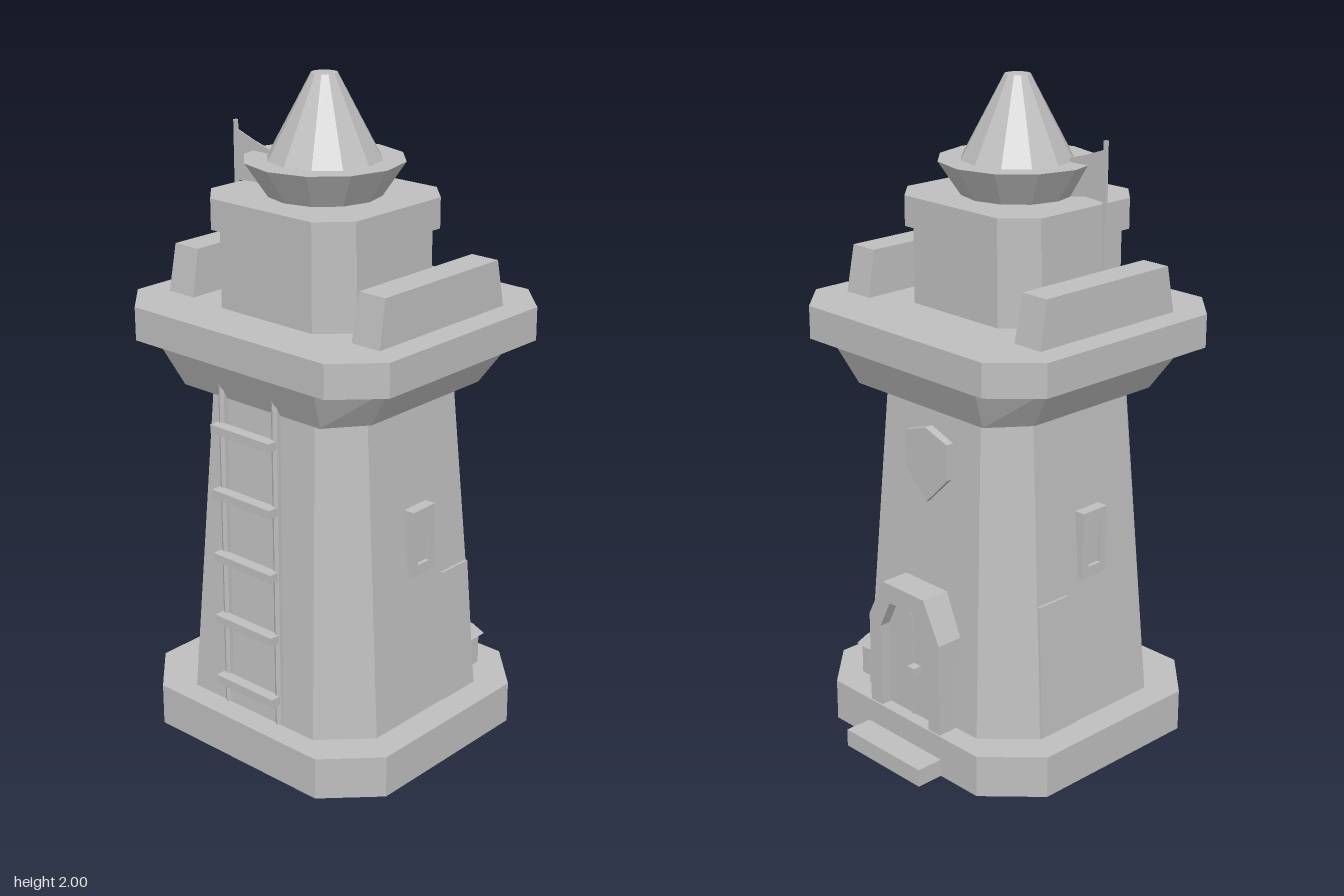
import * as THREE from 'three';

const stone = new THREE.MeshStandardMaterial({ color: 0xbebebe, flatShading: true, side: THREE.DoubleSide });
stone.name = 'grey stone';

// Ring of a rectangle with cut corners: half sizes hx, hz and corner starts cx, cz
function ring([y, hx, hz, cx, cz], z0) {
  return [[cx, hz], [hx, cz], [hx, -cz], [cx, -hz], [-cx, -hz], [-hx, -cz], [-hx, cz], [-cx, hz]]
    .map(([x, z]) => [x, y, z + z0]);
}

// Eight-sided block between two rings
function octBlock(low, high, z0, openBottom = false) {
  const a = ring(low, z0), b = ring(high, z0), pos = [];
  const tri = (...p) => p.forEach((v) => pos.push(...v));
  for (let i = 0; i < 8; i++) {
    const j = (i + 1) % 8;
    tri(a[i], a[j], b[j]);
    tri(a[i], b[j], b[i]);
    if (i > 0 && i < 7) {
      tri(b[0], b[i], b[i + 1]);
      if (!openBottom) tri(a[0], a[i + 1], a[i]);
    }
  }
  const geo = new THREE.BufferGeometry();
  geo.setAttribute('position', new THREE.Float32BufferAttribute(pos, 3));
  geo.computeVertexNormals();
  return geo;
}

// Flat outline pushed from z0 to z1, with an optional hole
function plate(points, z0, z1, hole) {
  const shape = new THREE.Shape(points.map((p) => new THREE.Vector2(...p)));
  if (hole) shape.holes.push(new THREE.Path(hole.map((p) => new THREE.Vector2(...p))));
  return new THREE.ExtrudeGeometry(shape, { depth: z1 - z0, bevelEnabled: false }).translate(0, 0, z0);
}

// Box given by its limits
function box(x0, x1, y0, y1, z0, z1) {
  return new THREE.BoxGeometry(x1 - x0, y1 - y0, z1 - z0)
    .translate((x0 + x1) / 2, (y0 + y1) / 2, (z0 + z1) / 2);
}

// Box whose upper corners are moved by a rule
function shapedBox(limits, rule) {
  const geo = box(...limits), p = geo.attributes.position, mid = (limits[2] + limits[3]) / 2;
  for (let i = 0; i < p.count; i++) {
    if (p.getY(i) > mid) {
      const [x, z] = rule(p.getX(i), p.getZ(i));
      p.setX(i, x);
      p.setZ(i, z);
    }
  }
  geo.computeVertexNormals();
  return geo;
}

export function createModel() {
  const model = new THREE.Group();
  const add = (name, geo, parent = model) => {
    const mesh = new THREE.Mesh(geo, stone);
    mesh.name = name;
    parent.add(mesh);
    return mesh;
  };
  const group = (name) => {
    const g = new THREE.Group();
    g.name = name;
    model.add(g);
    return g;
  };

  // Stacked body; the plinth is hollow below
  add('plinth', octBlock([0, 0.463, 0.432, 0.318, 0.287], [0.13, 0.463, 0.432, 0.318, 0.287], 0.037, true));
  add('tower', octBlock([0.13, 0.374, 0.36, 0.243, 0.228], [1.11, 0.298, 0.297, 0.199, 0.19], 0.036));
  add('corbel', octBlock([1.105, 0.352, 0.35, 0.265, 0.235], [1.24, 0.443, 0.415, 0.3, 0.27], 0.034));
  add('platform', octBlock([1.24, 0.488, 0.446, 0.365, 0.323], [1.34, 0.488, 0.446, 0.365, 0.323], 0.032));
  add('upperRoom', octBlock([1.34, 0.263, 0.245, 0.175, 0.16], [1.57, 0.263, 0.245, 0.175, 0.16], 0.072));
  add('roomCornice', octBlock([1.57, 0.276, 0.263, 0.192, 0.178], [1.66, 0.276, 0.263, 0.192, 0.178], 0.072));

  // Roof
  add('eave', new THREE.CylinderGeometry(0.233, 0.166, 0.1, 12).translate(0, 1.71, 0.072));
  add('roofCone', new THREE.CylinderGeometry(0.038, 0.166, 0.24, 12).translate(0, 1.88, 0.072));

  // Parapets, windows and buttresses on both sides
  for (const s of [1, -1]) {
    const side = s > 0 ? 'left' : 'right';
    const limits = (a, b, ...rest) => [Math.min(s * a, s * b), Math.max(s * a, s * b), ...rest];
    add(side + 'Parapet', shapedBox(limits(0.307, 0.407, 1.34, 1.48, -0.236, 0.302),
      (x, z) => [s * 0.357 + (x - s * 0.357) * 0.93, 0.033 + (z - 0.033) * 0.905]));

    const win = group(side + 'Window');
    for (const [z0, z1] of [[-0.005, 0.018], [0.069, 0.092]]) {
      add('windowJamb', box(...limits(0.31, 0.358, 0.58, 0.785, z0, z1)), win);
    }
    for (const [y0, y1] of [[0.58, 0.612], [0.753, 0.785]]) {
      add('windowBar', box(...limits(0.31, 0.358, y0, y1, 0.018, 0.069)), win);
    }
    add('windowPane', box(...limits(0.3, 0.346, 0.612, 0.753, 0.018, 0.069)), win);

    add(side + 'Buttress', shapedBox(limits(0.25, 0.383, 0.04, 0.54, -0.19, -0.035),
      (x, z) => [x - s * 0.033, z > -0.1 ? -0.057 : -0.175]));
  }

  // Ladder on the front
  const ladder = group('ladder');
  for (const x of [-0.104, 0.104]) {
    add('ladderRail', new THREE.CylinderGeometry(0.013, 0.013, 1.04, 6).translate(x, 0.64, 0.39), ladder);
    add('railKnob', new THREE.CylinderGeometry(0.016, 0.016, 0.02, 6).translate(x, 1.155, 0.39), ladder);
  }
  for (let i = 0; i < 5; i++) {
    const y = 0.213 + i * 0.2015;
    add('ladderRung', box(-0.117, 0.113, y - 0.013, y + 0.013, 0.395, 0.43), ladder);
  }

  // Arched door and step at the back
  const door = group('door');
  const arch = (w, t, shoulder, top) =>
    [[-w, 0.13], [w, 0.13], [w, shoulder], [t, top], [-t, top], [-w, shoulder]];
  add('doorFrame', plate(arch(0.155, 0.09, 0.42, 0.545), -0.39, -0.25, arch(0.105, 0.06, 0.395, 0.485)), door);
  add('doorPanel', plate(arch(0.105, 0.06, 0.395, 0.485), -0.355, -0.26), door);
  add('doorStrip', box(-0.005, 0.005, 0.13, 0.46, -0.36, -0.35), door);
  add('doorHandle', box(-0.035, -0.005, 0.27, 0.3, -0.383, -0.35), door);
  add('doorStep', box(-0.164, 0.164, 0, 0.055, -0.482, -0.38));

  // Shield above the door
  add('shield', plate([[-0.09, 1.0], [-0.09, 0.89], [0, 0.8], [0.09, 0.89], [0.09, 1.0], [0, 1.03]], -0.293, -0.2));

  // Small lamp at the back corner
  const lamp = group('cornerLamp');
  add('lampPost', new THREE.BoxGeometry(0.035, 0.1, 0.035).translate(0.29, 0.18, -0.28), lamp);
  add('lampCap', new THREE.CylinderGeometry(0.006, 0.042, 0.035, 4).rotateY(Math.PI / 4)
    .translate(0.29, 0.247, -0.28), lamp);

  // Flag
  const flag = group('flag');
  add('flagPole', box(-0.287, -0.277, 1.34, 1.84, 0.135, 0.145), flag);
  add('flagCloth', plate([[-0.28, 1.665], [-0.21, 1.67], [-0.14, 1.66], [-0.14, 1.77], [-0.21, 1.79], [-0.28, 1.815]],
    0.138, 0.142), flag);

  return model;
}
